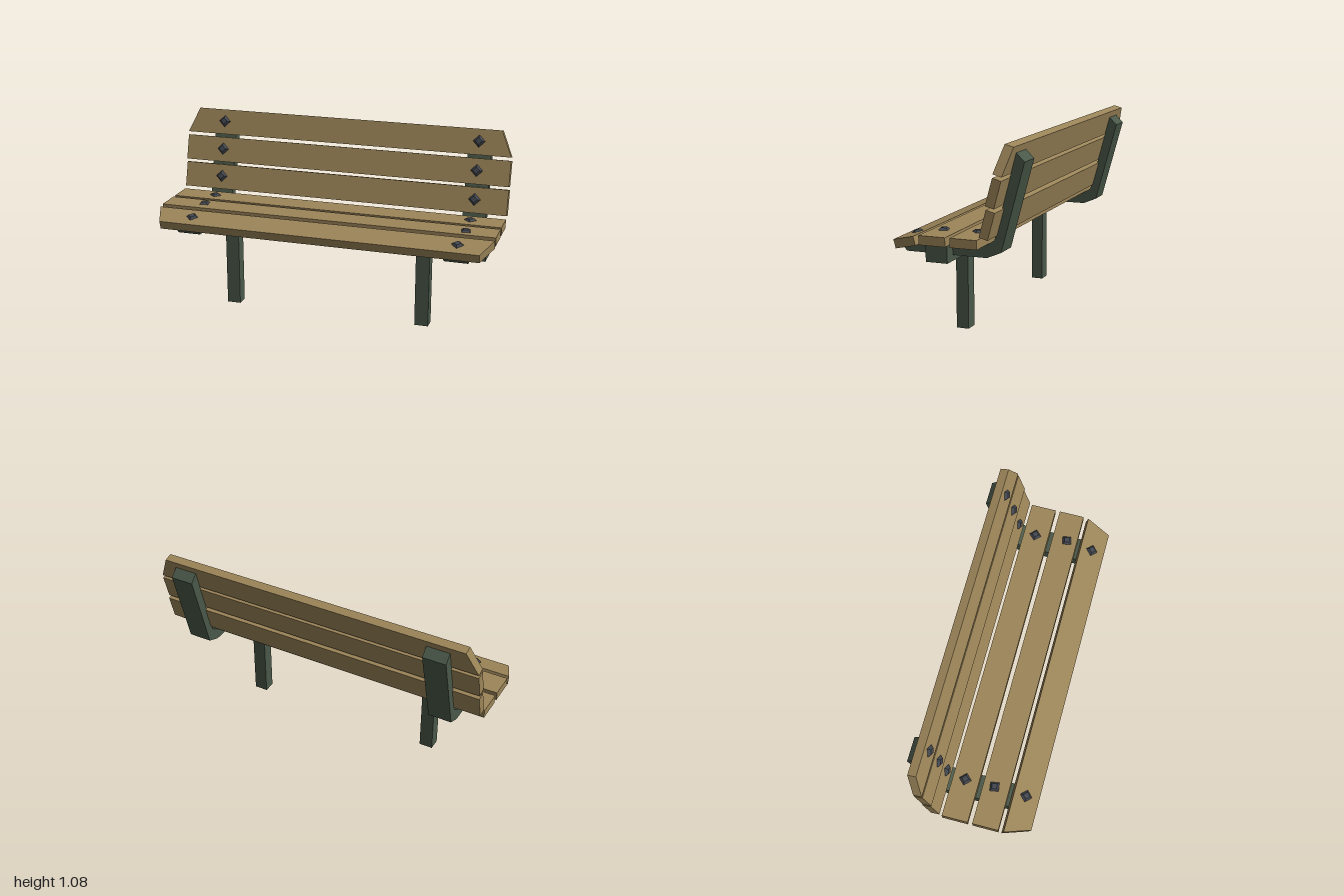
import * as THREE from 'three';

export function createModel() {
  const wood = new THREE.MeshStandardMaterial({ color: 0x9c8559 });
  wood.name = 'wood';
  const paint = new THREE.MeshStandardMaterial({ color: 0x4a5849 });
  paint.name = 'green metal';
  const steel = new THREE.MeshStandardMaterial({ color: 0x42474f });
  steel.name = 'bolt steel';

  const bench = new THREE.Group();
  bench.name = 'bench';

  const add = (parent, name, geometry, material, x = 0, y = 0, z = 0) => {
    const mesh = new THREE.Mesh(geometry, material);
    mesh.name = name;
    mesh.position.set(x, y, z);
    parent.add(mesh);
    return mesh;
  };

  // Four-sided bolt head, pointing along +z
  const boltGeometry = (height) => {
    const g = new THREE.CylinderGeometry(0.021, 0.036, height, 4).toNonIndexed();
    g.computeVertexNormals();
    return g.rotateX(Math.PI / 2).translate(0, 0, height / 2);
  };

  // Plank lies in local xy, with its bolted face towards local +z
  const W = 0.15, T = 0.05;
  const plank = ({ name, y, z, tilt, top = 1, bottom = 1, boltHeight = 0.012, bolts }) => {
    const group = new THREE.Group();
    group.name = name;
    group.position.set(0, y, z);
    group.rotation.x = tilt;
    const shape = new THREE.Shape([
      new THREE.Vector2(-bottom, -W / 2), new THREE.Vector2(bottom, -W / 2),
      new THREE.Vector2(top, W / 2), new THREE.Vector2(-top, W / 2),
    ]);
    const board = new THREE.ExtrudeGeometry(shape, { depth: T, bevelEnabled: false });
    add(group, name + 'Board', board.translate(0, 0, -T / 2), wood);
    const spots = bolts || [[-0.766, 0.004, 0], [0.807, 0.004, 0]];
    for (const [bx, by, turn] of spots) {
      add(group, 'bolt', boltGeometry(boltHeight), steel, bx, by, T / 2).rotation.z = turn;
    }
    bench.add(group);
  };

  // Seat planks
  const flat = -Math.PI / 2, lean = 0.268;
  plank({ name: 'frontSeatPlank', y: 0.545, z: 0.278, tilt: flat + lean, bottom: 0.942 });
  plank({
    name: 'middleSeatPlank', y: 0.571, z: 0.107, tilt: flat,
    bolts: [[-0.766, 0.01, 0.95], [0.82, -0.013, 0.98]],
  });
  plank({ name: 'rearSeatPlank', y: 0.571, z: -0.069, tilt: flat });

  // Backrest planks
  const back = { tilt: -lean, boltHeight: 0.017 };
  plank({ name: 'lowerBackPlank', y: 0.678, z: -0.2, ...back });
  plank({ name: 'middleBackPlank', y: 0.842, z: -0.235, ...back });
  plank({ name: 'upperBackPlank', y: 1.006, z: -0.277, top: 0.935, ...back });

  // Bent brackets carrying seat and backrest, outlined as (z, y)
  const outline = [
    [0.31, 0.477], [0.335, 0.503], [0.2, 0.543], [-0.145, 0.545], [-0.19, 0.574],
    [-0.31, 1.035], [-0.356, 0.99], [-0.227, 0.511], [-0.147, 0.477],
  ].map(([z, y]) => new THREE.Vector2(z, y));
  const bracketWidth = 0.137;
  for (const [name, x] of [['rightBracket', -0.775], ['leftBracket', 0.807]]) {
    const g = new THREE.ExtrudeGeometry(new THREE.Shape(outline), { depth: bracketWidth, bevelEnabled: false });
    g.translate(0, 0, -bracketWidth / 2).rotateY(-Math.PI / 2);
    add(bench, name, g, paint, x);
  }

  // Crossbar and the two legs
  add(bench, 'crossbar', new THREE.BoxGeometry(1.895, 0.099, 0.123), paint, -0.003, 0.4945, 0.107);
  for (const [name, x] of [['rightLeg', -0.575], ['leftLeg', 0.584]]) {
    add(bench, name, new THREE.BoxGeometry(0.08, 0.45, 0.071), paint, x, 0.225, 0.107);
  }

  return bench;
}
